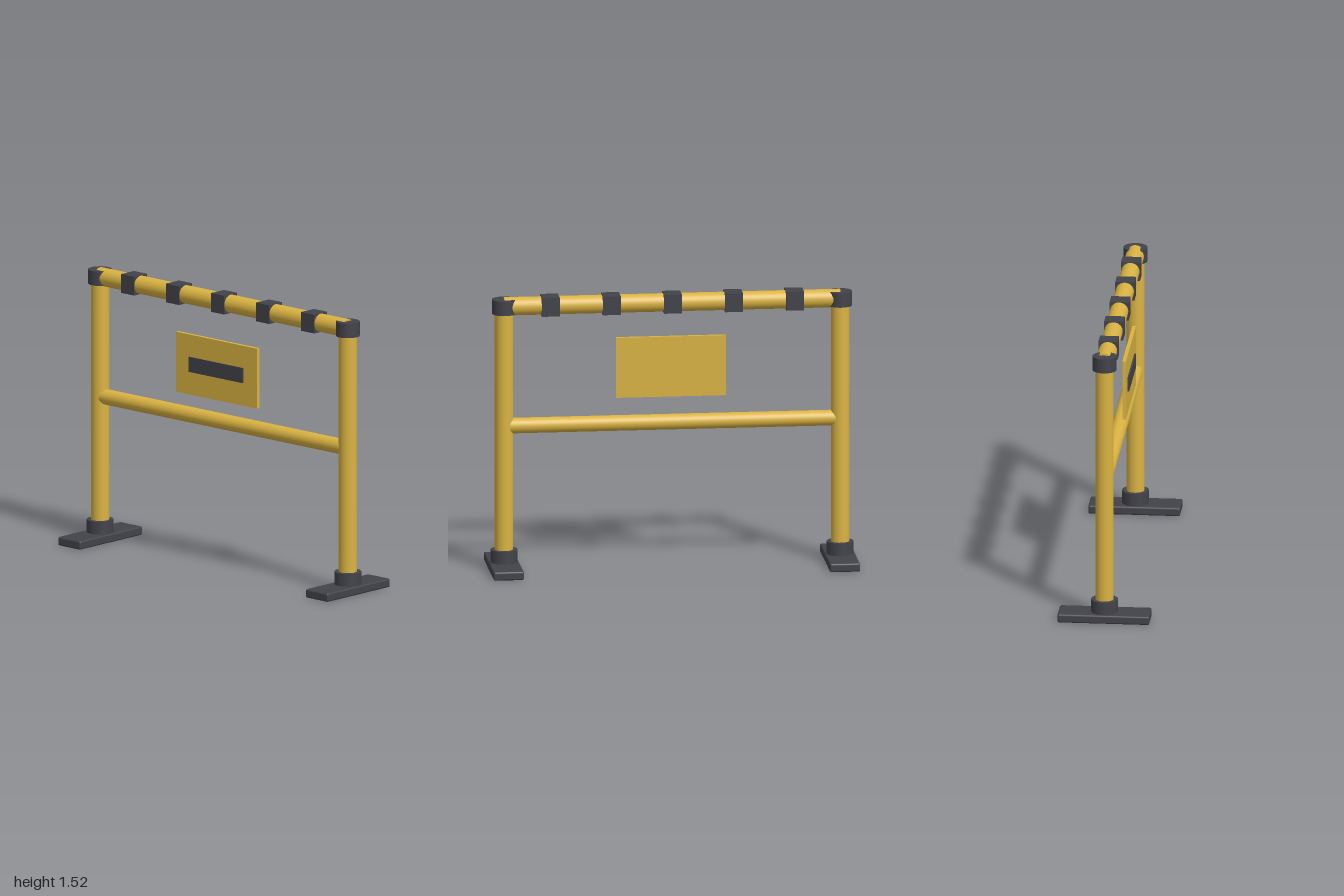
import * as THREE from 'three';
import { RoundedBoxGeometry } from 'three/addons/geometries/RoundedBoxGeometry.js';

export function createModel() {
  const group = new THREE.Group();
  const yellow = new THREE.MeshStandardMaterial({ color: 0xdab342 });
  yellow.name = 'safety yellow';
  const dark = new THREE.MeshStandardMaterial({ color: 0x42424a });
  dark.name = 'dark rubber';

  const postX = 0.917;
  const railY = 1.47;

  function add(name, geometry, material, x, y, z = 0) {
    const mesh = new THREE.Mesh(geometry, material);
    mesh.name = name;
    mesh.position.set(x, y, z);
    group.add(mesh);
    return mesh;
  }
  const tube = (r, length) => new THREE.CylinderGeometry(r, r, length, 32);

  // Uprights with foot plate, base collar and top cap
  for (const [side, s] of [['left', 1], ['right', -1]]) {
    const x = s * postX;
    add(side + 'Foot', new RoundedBoxGeometry(0.166, 0.048, 0.5, 3, 0.01), dark, x, 0.024);
    add(side + 'Collar', tube(0.073, 0.076), dark, x, 0.08);
    add(side + 'Post', tube(0.05, 1.43), yellow, x, 0.755);
    add(side + 'Cap', tube(0.065, 0.08), dark, x, 1.47);
  }

  // Horizontal rails
  add('topRail', tube(0.05, postX * 2), yellow, 0, railY).rotation.z = Math.PI / 2;
  add('middleRail', tube(0.0425, postX * 2), yellow, 0, 0.805).rotation.z = Math.PI / 2;

  // Square bands along the top rail
  for (let i = -2; i <= 2; i++) {
    add('band', new THREE.BoxGeometry(0.098, 0.104, 0.104), dark, i / 3, railY);
  }

  // Sign panel with a dark bar on its front
  add('signPanel', new THREE.BoxGeometry(0.6, 0.334, 0.02), yellow, 0, 1.102, 0.05);
  add('signBar', new THREE.BoxGeometry(0.4, 0.083, 0.009), dark, 0, 1.104, 0.0635);

  return group;
}
